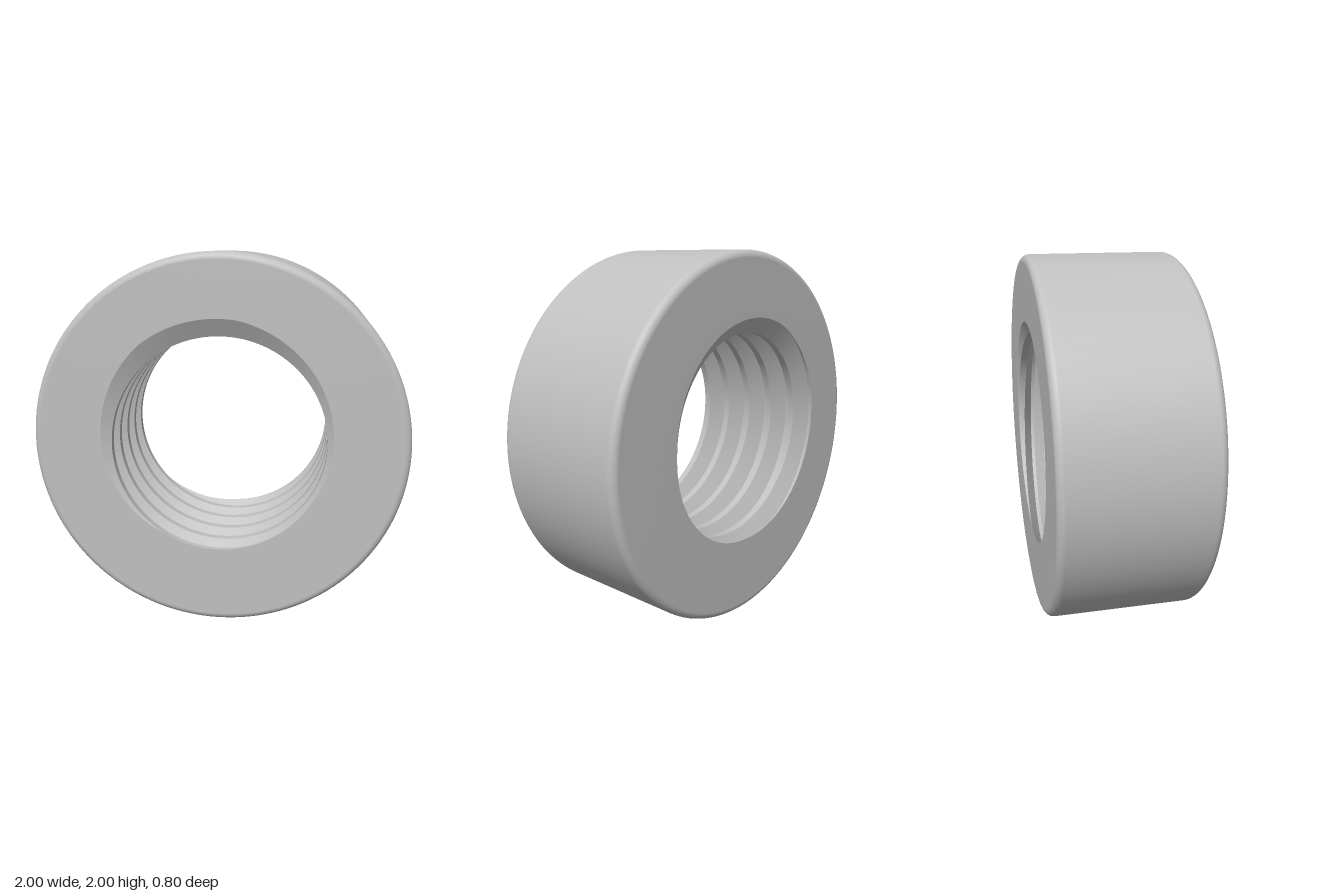
import * as THREE from 'three';
import { mergeGeometries } from 'three/addons/utils/BufferGeometryUtils.js';

const SEGMENTS = 240;
const HALF = 0.4;            // half the ring's depth
const OUTER = 1, FILLET = 0.04;
const MINOR = 0.575, MAJOR = 0.67, PITCH = 0.163;
const START = THREE.MathUtils.degToRad(104); // where the groove meets the front face

// Bore radius of the right-handed thread at a depth and angle
function boreRadius(z, angle) {
  const phase = (z - HALF) / PITCH - (angle - START) / (2 * Math.PI);
  const t = Math.abs(phase - Math.round(phase));
  const flank = THREE.MathUtils.clamp((t - 1 / 16) / (3 / 8 - 1 / 16), 0, 1);
  return THREE.MathUtils.lerp(MAJOR, MINOR, flank);
}

// Surface swept round z; each row is a function angle -> [radius, z]
function sweep(rows) {
  const positions = [], index = [], n = rows.length;
  for (let i = 0; i <= SEGMENTS; i++) {
    const angle = (i / SEGMENTS) * Math.PI * 2;
    for (const row of rows) {
      const [r, z] = row(angle);
      positions.push(r * Math.cos(angle), r * Math.sin(angle), z);
    }
  }
  for (let i = 0; i < SEGMENTS; i++) {
    for (let j = 0; j < n - 1; j++) {
      const a = i * n + j, b = a + 1, c = b + n, d = a + n;
      index.push(a, b, d, b, c, d);
    }
  }
  const geometry = new THREE.BufferGeometry();
  geometry.setAttribute('position', new THREE.Float32BufferAttribute(positions, 3));
  geometry.setIndex(index);
  geometry.computeVertexNormals();
  return geometry;
}

// Faces, rounded rims and outer wall
function bodyGeometry() {
  const rows = [a => [boreRadius(HALF, a), HALF]];
  for (const side of [1, -1]) {
    for (let k = 0; k <= 6; k++) {
      const t = ((side > 0 ? k : 6 - k) / 6) * Math.PI / 2;
      const r = OUTER - FILLET + FILLET * Math.sin(t);
      const z = side * (HALF - FILLET + FILLET * Math.cos(t));
      rows.push(() => [r, z]);
    }
  }
  rows.push(a => [boreRadius(-HALF, a), -HALF]);
  return sweep(rows);
}

// Helical roots, flanks and crests, trimmed at both faces
function threadGeometry() {
  const rows = [];
  for (let k = -7; k <= 1; k++) {
    for (const q of [-1 / 16, 1 / 16, 3 / 8, 5 / 8]) {
      rows.push(a => {
        const turn = (a - START) / (2 * Math.PI) + k + q;
        const z = THREE.MathUtils.clamp(HALF + PITCH * turn, -HALF, HALF);
        return [boreRadius(z, a), z];
      });
    }
  }
  // One strip per thread face keeps the edges sharp
  return mergeGeometries(rows.slice(1).map((row, j) => sweep([rows[j], row])));
}

export function createModel() {
  const steel = new THREE.MeshStandardMaterial({ color: 0xc0c0c0 });
  steel.name = 'steel grey';

  const group = new THREE.Group();
  group.name = 'threadedRing';
  const parts = { ringBody: bodyGeometry(), innerThread: threadGeometry() };
  for (const [name, geometry] of Object.entries(parts)) {
    const mesh = new THREE.Mesh(geometry, steel);
    mesh.name = name;
    mesh.position.y = OUTER;
    group.add(mesh);
  }
  return group;
}
